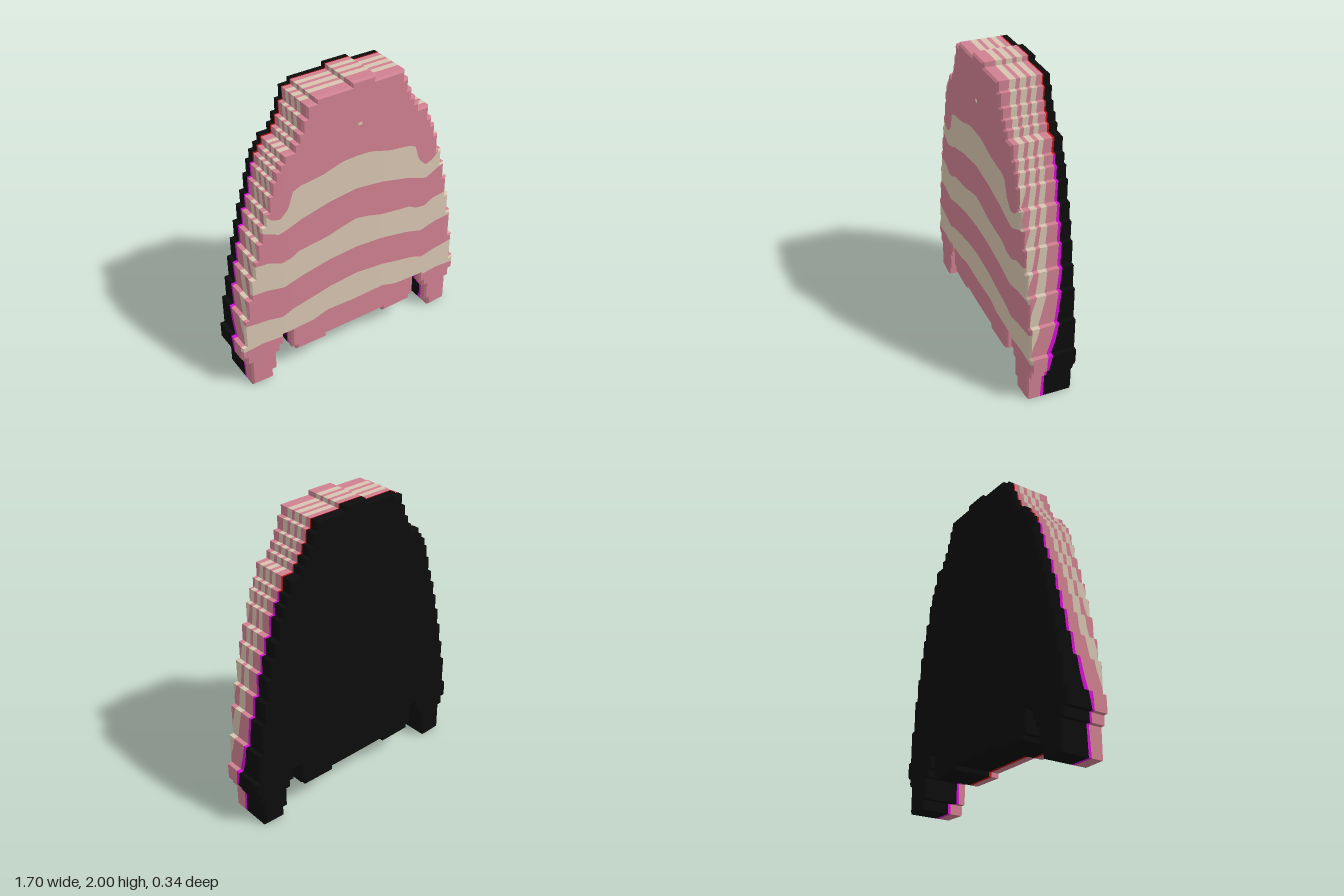
import * as THREE from 'three';

const mat = (name, color) => Object.assign(new THREE.MeshStandardMaterial({ color }), { name });

// Piecewise linear lookup through [position, value] pairs
function lookup(pts, t) {
  if (t <= pts[0][0]) return pts[0][1];
  for (let i = 1; i < pts.length; i++) {
    const [a, va] = pts[i - 1], [b, vb] = pts[i];
    if (t <= b) return va + (vb - va) * (t - a) / (b - a);
  }
  return pts[pts.length - 1][1];
}

// Outer corners of the stepped silhouette, from the top down
const LEFT_STEPS = [[0.13, 2], [0.34, 1.97], [0.37, 1.91], [0.40, 1.83], [0.43, 1.77], [0.46, 1.72],
  [0.54, 1.67], [0.57, 1.58], [0.60, 1.52], [0.63, 1.44], [0.67, 1.31], [0.70, 1.2], [0.73, 1.08],
  [0.76, 0.93], [0.79, 0.78], [0.82, 0.57], [0.85, 0.36]];
const RIGHT_STEPS = [[-0.04, 2], [-0.28, 1.97], [-0.34, 1.94], [-0.37, 1.86], [-0.40, 1.78], [-0.43, 1.72],
  [-0.50, 1.67], [-0.53, 1.62], [-0.56, 1.58], [-0.585, 1.52], [-0.61, 1.43], [-0.64, 1.32], [-0.67, 1.23],
  [-0.70, 1.12], [-0.73, 1.0], [-0.76, 0.87], [-0.79, 0.72], [-0.82, 0.57], [-0.85, 0.36]];
// Foot, notch and lower hem on one side
const HEM = [[0.85, 0.25], [0.82, 0.25], [0.82, 0.19], [0.79, 0.19], [0.79, 0], [0.64, 0], [0.64, 0.065],
  [0.61, 0.065], [0.61, 0.2], [0.58, 0.2], [0.58, 0.25], [0.55, 0.25], [0.55, 0.33], [0.49, 0.33],
  [0.49, 0.185], [0.46, 0.185], [0.46, 0.155], [0.23, 0.155], [0.23, 0.185]];

// Stripe edges on the front: height by distance from the middle
const FRONT_EDGES = [
  [[0, 0.385], [0.22, 0.39], [0.33, 0.355], [0.48, 0.345], [0.53, 0.32], [0.7, 0.33], [0.85, 0.31]],
  [[0, 0.6], [0.2, 0.58], [0.4, 0.535], [0.47, 0.52], [0.55, 0.485], [0.65, 0.505], [0.82, 0.52]],
  [[0, 0.815], [0.2, 0.8], [0.4, 0.76], [0.53, 0.72], [0.65, 0.745], [0.8, 0.75]],
  [[0, 1.04], [0.1, 1.02], [0.2, 0.99], [0.42, 0.96], [0.48, 0.925], [0.55, 0.915], [0.62, 0.95], [0.76, 0.96]],
  [[0, 1.265], [0.2, 1.24], [0.4, 1.19], [0.47, 1.16], [0.55, 1.135], [0.65, 1.18], [0.7, 1.2]],
  [[0, 1.5], [0.1, 1.495], [0.25, 1.45], [0.4, 1.43], [0.46, 1.4], [0.48, 1.3], [0.54, 1.24], [0.6, 1.26], [0.65, 1.32]],
];
// Band edges round the side, back to front: depth by height
const SIDE_EDGES = [
  [[0, 0.04], [0.25, 0.03], [0.35, 0.01], [0.45, -0.02], [0.6, -0.045], [0.9, -0.075], [1.5, -0.095], [2, -0.12]],
  [[0, 0.06], [0.25, 0.045], [0.35, 0.04], [0.45, 0.01], [0.6, -0.025], [0.9, -0.055], [1.5, -0.08], [2, -0.114]],
  [[0.32, 0.17], [0.5, 0.1], [0.8, 0.03], [1.2, 0], [1.6, -0.03], [2, -0.08]],
  [[0.52, 0.17], [0.8, 0.09], [1.2, 0.04], [1.6, 0], [2, -0.045]],
  [[0.75, 0.17], [0.95, 0.1], [1.2, 0.065], [1.6, 0.025], [2, -0.02]],
  [[0.95, 0.17], [1.2, 0.105], [1.6, 0.06], [2, 0.02]],
  [[1.19, 0.17], [1.4, 0.11], [1.6, 0.085], [2, 0.045]],
  [[1.31, 0.17], [1.45, 0.14], [1.6, 0.12], [2, 0.085]],
];

const BEVEL = 0.012;
const frontZ = x => 0.167 - 0.022 * (x / 0.85) ** 2;
const backZ = x => -0.167 + 0.015 * (x / 0.85) ** 2;
const frontColor = (x, y) =>
  FRONT_EDGES.filter(e => lookup(e, Math.abs(x)) < y).length % 2 ? 'cream' : 'pink';

function sideEdge(k, [x, y]) {
  const underside = Math.abs(x) < 0.62 && y < 0.36 && k < 2;
  const z = underside ? 0.085 + 0.018 * k : lookup(SIDE_EDGES[k], y);
  return Math.min(z, frontZ(x) - BEVEL);
}

function makeOutline() {
  const down = (steps, endY) => steps.flatMap(([x, y], i) =>
    [[x, y], [x, i + 1 < steps.length ? steps[i + 1][1] : endY]]);
  const right = down(RIGHT_STEPS, 0.25), left = down(LEFT_STEPS, 0.25).reverse();
  const hem = HEM.slice(1);
  return [...right, ...hem.map(([x, y]) => [-x, y]), ...hem.slice().reverse(), ...left];
}

// Move every corner inwards
function inset(pts, d) {
  const n = pts.length;
  const normal = (a, b) => [-Math.sign(b[1] - a[1]), Math.sign(b[0] - a[0])];
  return pts.map((p, i) => {
    const u = normal(pts[(i + n - 1) % n], p), v = normal(p, pts[(i + 1) % n]);
    return [p[0] + d * (u[0] + v[0]), p[1] + d * (u[1] + v[1])];
  });
}

export function createModel() {
  const group = new THREE.Group();
  const materials = {
    pink: mat('pink', 0xcf8090), cream: mat('cream', 0xd6c4b0), black: mat('black', 0x0c0c0c),
    magenta: mat('magenta', 0xd80cd8), red: mat('red', 0xc01414),
  };
  const parts = {};
  const quad = (part, color, a, b, c, d) => {
    const list = ((parts[part] ??= {})[color] ??= []);
    list.push(...a, ...b, ...c, ...a, ...c, ...d);
  };

  const outer = makeOutline(), inner = inset(outer, BEVEL);
  const mix = (a, b, t) => [a[0] + (b[0] - a[0]) * t, a[1] + (b[1] - a[1]) * t];

  // Stepped side wall with curved bands, and narrow bevels front and back
  outer.forEach((a, i) => {
    const j = (i + 1) % outer.length, b = outer[j];
    const n = Math.ceil(Math.hypot(b[0] - a[0], b[1] - a[1]) / 0.04);
    for (let s = 0; s < n; s++) {
      const p = mix(a, b, s / n), q = mix(a, b, (s + 1) / n);
      const pi = mix(inner[i], inner[j], s / n), qi = mix(inner[i], inner[j], (s + 1) / n);
      const levels = r => [backZ(r[0]) + BEVEL, ...SIDE_EDGES.map((_, k) => sideEdge(k, r)), frontZ(r[0]) - BEVEL];
      const zp = levels(p), zq = levels(q);
      const seam = p[1] > 1.55 || (Math.abs(p[0]) < 0.47 && p[1] < 0.2) ? 'red' : 'magenta';
      for (let k = 0; k + 1 < zp.length; k++) {
        if (zp[k + 1] - zp[k] < 1e-5 && zq[k + 1] - zq[k] < 1e-5) continue;
        const color = k === 0 ? 'black' : k === 1 ? seam : k % 2 ? 'cream' : 'pink';
        quad('sideWall', color, [...p, zp[k]], [...q, zq[k]], [...q, zq[k + 1]], [...p, zp[k + 1]]);
      }
      const last = zp.length - 1, m = mix(p, q, 0.5);
      quad('frontBevel', frontColor(...m), [...p, zp[last]], [...q, zq[last]],
        [...qi, frontZ(qi[0])], [...pi, frontZ(pi[0])]);
      quad('backBevel', 'black', [...pi, backZ(pi[0])], [...qi, backZ(qi[0])], [...q, zq[0]], [...p, zp[0]]);
    }
  });

  // Front and back faces, built in upright columns between the corners
  const xs = [...new Set(inner.map(p => +p[0].toFixed(4)))].sort((a, b) => a - b);
  for (let i = 0; i + 1 < xs.length; i++) {
    const mid = (xs[i] + xs[i + 1]) / 2;
    const ys = inner.flatMap((p, k) => {
      const q = inner[(k + 1) % inner.length];
      return (p[0] - mid) * (q[0] - mid) < 0 ? [p[1]] : [];
    });
    const lo = Math.min(...ys), hi = Math.max(...ys);
    const n = Math.ceil((xs[i + 1] - xs[i]) / 0.03);
    for (let s = 0; s < n; s++) {
      const x0 = xs[i] + (xs[i + 1] - xs[i]) * s / n, x1 = xs[i] + (xs[i + 1] - xs[i]) * (s + 1) / n;
      const cuts = x => [lo, ...FRONT_EDGES.map(e => Math.min(hi, Math.max(lo, lookup(e, Math.abs(x))))), hi];
      const c0 = cuts(x0), c1 = cuts(x1), f0 = frontZ(x0), f1 = frontZ(x1);
      for (let k = 0; k + 1 < c0.length; k++) {
        if (c0[k + 1] - c0[k] < 1e-5 && c1[k + 1] - c1[k] < 1e-5) continue;
        quad('frontFace', k % 2 ? 'cream' : 'pink',
          [x0, c0[k], f0], [x1, c1[k], f1], [x1, c1[k + 1], f1], [x0, c0[k + 1], f0]);
      }
      quad('backFace', 'black', [x1, lo, backZ(x1)], [x0, lo, backZ(x0)], [x0, hi, backZ(x0)], [x1, hi, backZ(x1)]);
    }
  }

  for (const [part, colors] of Object.entries(parts)) {
    const partGroup = new THREE.Group();
    partGroup.name = part;
    for (const [color, list] of Object.entries(colors)) {
      const geo = new THREE.BufferGeometry();
      geo.setAttribute('position', new THREE.Float32BufferAttribute(list, 3));
      geo.computeVertexNormals();
      const mesh = new THREE.Mesh(geo, materials[color]);
      mesh.name = `${part} ${color}`;
      partGroup.add(mesh);
    }
    group.add(partGroup);
  }

  // Small pale fleck near the top of the front
  const fleck = new THREE.Mesh(new THREE.BoxGeometry(0.03, 0.018, 0.004), materials.cream);
  fleck.name = 'fleck';
  fleck.position.set(0.02, 1.715, frontZ(0.02));
  group.add(fleck);
  return group;
}
